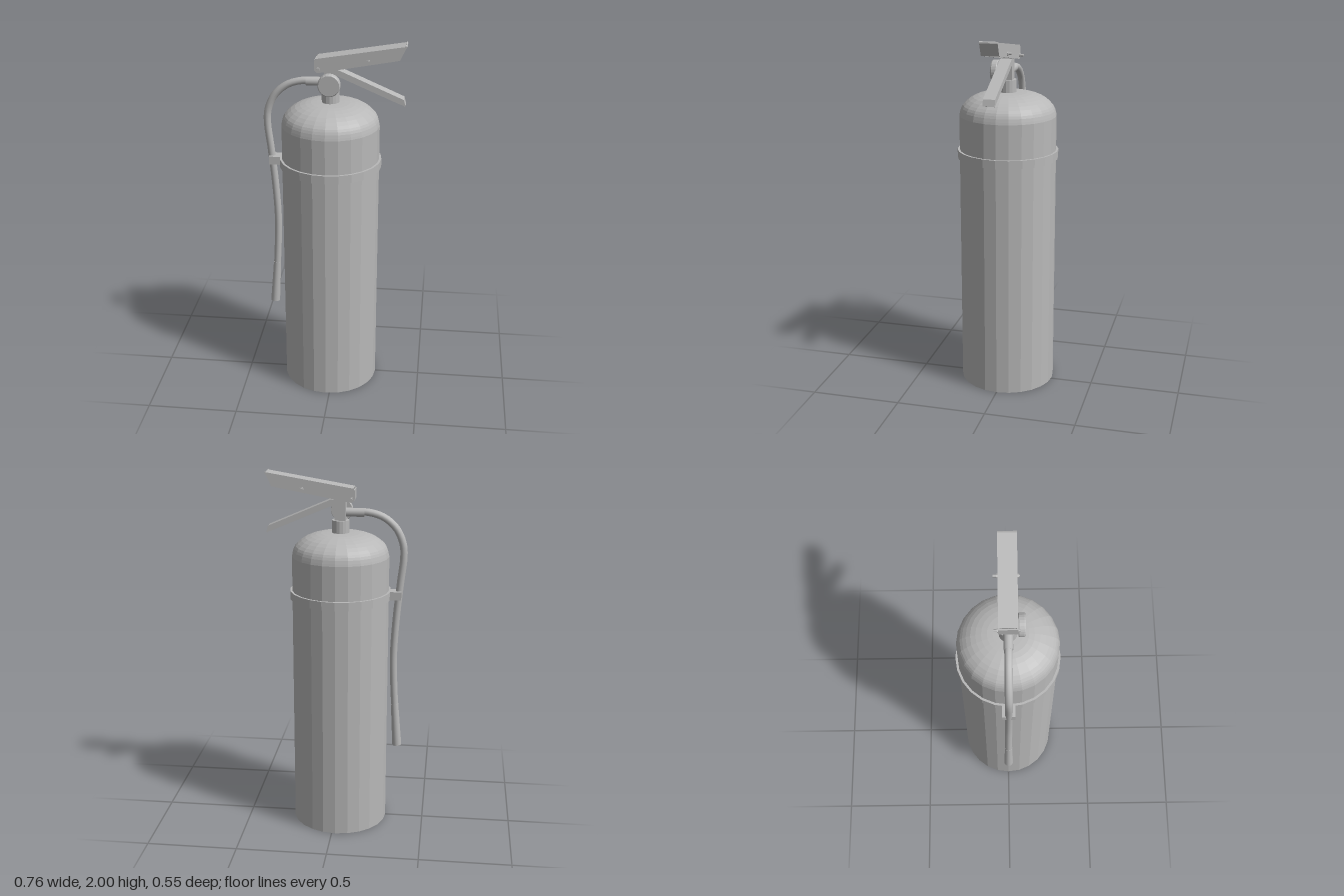
import * as THREE from 'three';

const CX = -0.02; // axis of the tank
const metal = new THREE.MeshStandardMaterial({ color: 0xb8b8b8, side: THREE.DoubleSide });
metal.name = 'grey metal';

function add(parent, name, geometry, x = 0, y = 0, z = 0, flat = false) {
  const mesh = new THREE.Mesh(flat ? geometry.toNonIndexed() : geometry, metal);
  if (flat) mesh.geometry.computeVertexNormals();
  mesh.name = name;
  mesh.position.set(x, y, z);
  parent.add(mesh);
  return mesh;
}

// Thin plate lying just to the right of the line a -> b, spanning z
function plate(parent, name, a, b, width, t) {
  const dx = b[0] - a[0], dy = b[1] - a[1], len = Math.hypot(dx, dy);
  const mesh = add(parent, name, new THREE.BoxGeometry(len, t, width),
    (a[0] + b[0]) / 2 + (dy / len) * t / 2, (a[1] + b[1]) / 2 - (dx / len) * t / 2, 0);
  mesh.rotation.z = Math.atan2(dy, dx);
}

// Folded sheet: two side walls plus plates along the chosen edges, open below
function channel(name, outline, edges, width) {
  const group = new THREE.Group();
  group.name = name;
  const t = 0.007;
  const shape = new THREE.Shape(outline.map(p => new THREE.Vector2(p[0], p[1])));
  for (const z of [-width / 2, width / 2 - t]) {
    add(group, name + 'Side', new THREE.ExtrudeGeometry(shape, { depth: t, bevelEnabled: false }), 0, 0, z);
  }
  for (const [i, j] of edges) plate(group, name + 'Plate', outline[i], outline[j], width - 0.001, t);
  return group;
}

export function createModel() {
  const model = new THREE.Group();
  model.name = 'fireExtinguisher';

  // Tank with a domed shoulder
  const dome = new THREE.SplineCurve([
    [0.265, 1.55], [0.256, 1.585], [0.237, 1.615], [0.19, 1.65], [0.125, 1.671], [0.058, 1.677], [0, 1.677],
  ].map(p => new THREE.Vector2(...p))).getPoints(14);
  dome[14].x = 0;
  const profile = [new THREE.Vector2(0, 0), new THREE.Vector2(0.265, 0), ...dome];
  add(model, 'tank', new THREE.LatheGeometry(profile, 24), CX, 0, 0, true);

  // Strap and hose clip
  add(model, 'strap', new THREE.CylinderGeometry(0.277, 0.277, 0.046, 24), CX, 1.338, 0, true);
  add(model, 'hoseClip', new THREE.BoxGeometry(0.085, 0.046, 0.068), -0.3125, 1.338, 0);

  // Valve: collar, stem and hose outlet
  add(model, 'collar', new THREE.CylinderGeometry(0.047, 0.047, 0.08, 16), CX, 1.705, 0, true);
  add(model, 'valveStem', new THREE.BoxGeometry(0.06, 0.15, 0.058), CX, 1.79, 0);
  const outlet = add(model, 'hoseOutlet', new THREE.CylinderGeometry(0.024, 0.024, 0.11, 12), -0.095, 1.787, 0);
  outlet.rotation.z = Math.PI / 2;

  // Gauge with a bevelled rim
  const gaugeProfile = [[0, 0.05], [0.058, 0.05], [0.06, 0.054], [0.06, 0.08], [0.055, 0.087], [0, 0.087]]
    .map(p => new THREE.Vector2(...p));
  const gauge = add(model, 'gauge', new THREE.LatheGeometry(gaugeProfile, 24), CX, 1.788, 0, true);
  gauge.rotation.x = Math.PI / 2;
  const post = add(model, 'gaugePost', new THREE.CylinderGeometry(0.018, 0.018, 0.04, 12), CX, 1.788, 0.038);
  post.rotation.x = Math.PI / 2;

  // Hose and flared nozzle
  const path = new THREE.CatmullRomCurve3([
    [-0.09, 1.787], [-0.16, 1.79], [-0.25, 1.765], [-0.32, 1.705], [-0.358, 1.62], [-0.363, 1.55],
    [-0.347, 1.4], [-0.328, 1.2], [-0.317, 1.0], [-0.32, 0.85], [-0.328, 0.7],
  ].map(p => new THREE.Vector3(p[0], p[1], 0)));
  add(model, 'hose', new THREE.TubeGeometry(path, 48, 0.02, 12));
  const nozzle = add(model, 'nozzle', new THREE.CylinderGeometry(0.021, 0.026, 0.251, 12), -0.3365, 0.576, 0);
  nozzle.rotation.z = -Math.atan2(0.017, 0.25);

  // Carrying handle and squeeze lever
  model.add(channel('upperHandle',
    [[-0.1, 1.86], [-0.085, 1.845], [0.345, 1.925], [0.38, 2.0], [-0.092, 1.921], [-0.1, 1.912]],
    [[4, 3], [3, 2], [0, 5]], 0.096));
  model.add(channel('squeezeLever',
    [[-0.04, 1.83], [-0.04, 1.86], [0.025, 1.86], [0.37, 1.71], [0.38, 1.675], [0.35, 1.685], [0.025, 1.825]],
    [[1, 2], [2, 3], [3, 4]], 0.064));

  // Cross pins with heads on both sides
  for (const [x, y] of [[-0.082, 1.866], [0.183, 1.915]]) {
    const pin = new THREE.Group();
    pin.name = 'crossPin';
    pin.position.set(x, y, 0);
    pin.rotation.x = Math.PI / 2;
    add(pin, 'pinShaft', new THREE.CylinderGeometry(0.007, 0.007, 0.13, 10), 0, -0.006, 0);
    for (const s of [-1, 1]) add(pin, 'pinHead', new THREE.CylinderGeometry(0.011, 0.011, 0.007, 6), 0, s * 0.051, 0, true);
    model.add(pin);
  }
  return model;
}
